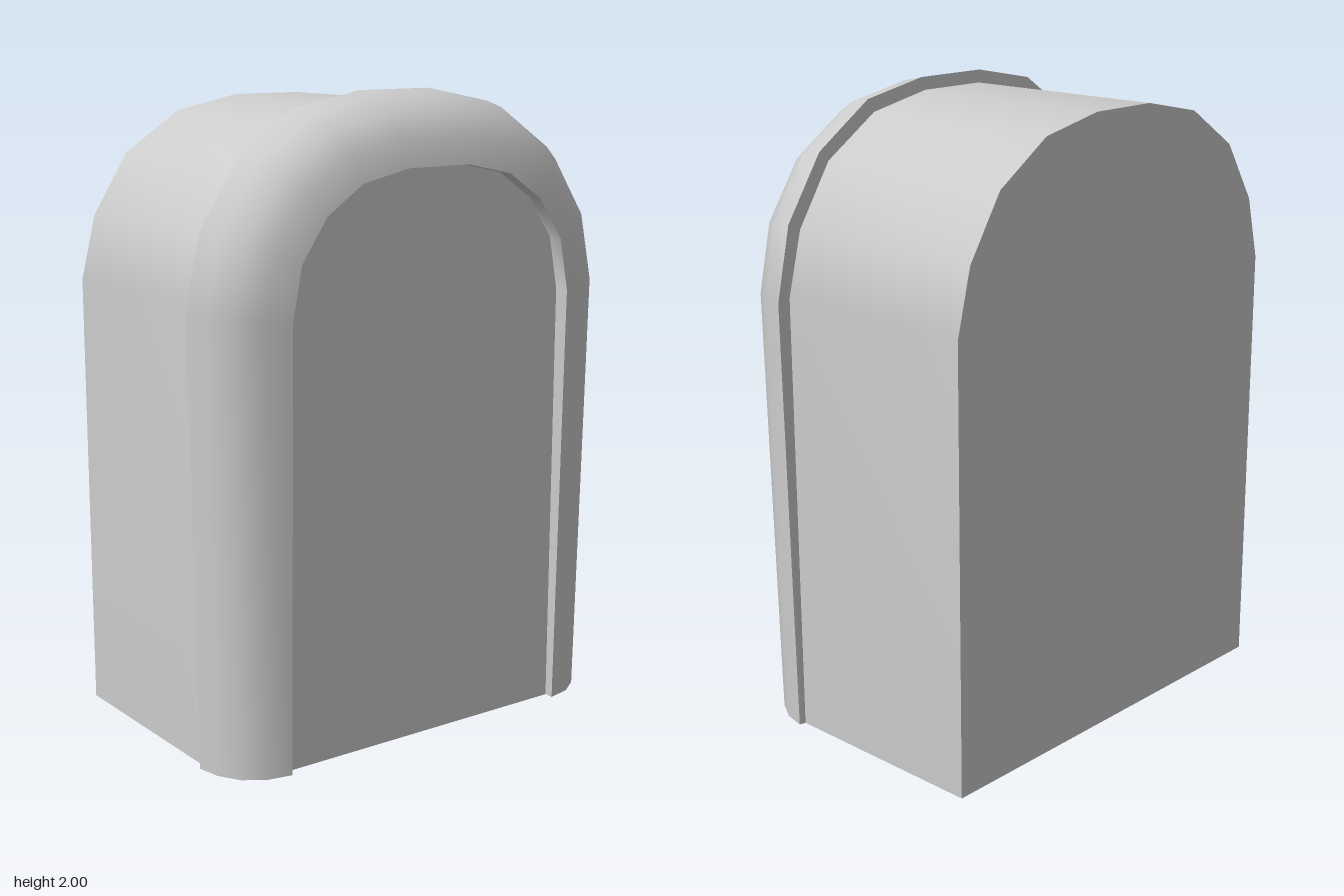
import * as THREE from 'three';

// Half outlines of the arch, from the foot up to the crown (x, y)
const BODY = [[0.7, 0], [0.7, 1.4], [0.65, 1.6], [0.53, 1.79], [0.34, 1.915], [0.12, 1.96]];
const RIM_OUTER = [[0.72, 0], [0.74, 1.39], [0.69, 1.62], [0.56, 1.82], [0.36, 1.955], [0.13, 2.0]];
const RIM_INNER = [[0.52, 0], [0.52, 1.37], [0.488, 1.535], [0.4, 1.665], [0.275, 1.75], [0.11, 1.785]];

const material = new THREE.MeshStandardMaterial({ color: 0xcccccc, side: THREE.DoubleSide });

// Mirror a half outline into a full arch, running from the +x foot to the -x foot
const arch = (half) => [...half, ...half.map(([x, y]) => [-x, y]).reverse()];

// Place an arch at depth z; the feet can sit at a slightly different depth
const ring = (half, z, footZ = z) =>
  arch(half).map(([x, y]) => new THREE.Vector3(x, y, y === 0 ? footZ : z));

const blend = (a, b, t) => a.map(([x, y], i) => [x + (b[i][0] - x) * t, y + (b[i][1] - y) * t]);

// Skin a series of rings with smooth normals
function loft(name, rings) {
  const n = rings[0].length;
  const index = [];
  for (let r = 0; r < rings.length - 1; r++) {
    for (let i = 0; i < n - 1; i++) {
      const a = r * n + i, b = a + 1, c = a + n, d = c + 1;
      index.push(a, b, d, a, d, c);
    }
  }
  const geometry = new THREE.BufferGeometry().setFromPoints(rings.flat());
  geometry.setIndex(index);
  geometry.computeVertexNormals();
  const mesh = new THREE.Mesh(geometry, material);
  mesh.name = name;
  return mesh;
}

// Flat arched panel facing +z
function panel(name, half, z) {
  const shape = new THREE.Shape(arch(half).map(([x, y]) => new THREE.Vector2(x, y)));
  const mesh = new THREE.Mesh(new THREE.ShapeGeometry(shape), material);
  mesh.name = name;
  mesh.position.z = z;
  return mesh;
}

export function createModel() {
  const group = new THREE.Group();
  group.name = 'archedHousing';

  // Hollow body, open underneath
  group.add(loft('bodyShell', [ring(BODY, -0.46), ring(BODY, 0.235)]));
  const back = panel('backPanel', BODY, -0.46);
  back.rotation.y = Math.PI;
  group.add(back);

  // Narrow step from the body out to the rim
  group.add(loft('rimLip', [ring(BODY, 0.235), ring(RIM_OUTER, 0.24)]));

  // Rounded rim: [blend from outer to inner outline, depth, depth at the feet]
  const profile = [[0, 0.24, 0.24], [0.08, 0.32, 0.313], [0.28, 0.395, 0.38], [0.61, 0.442, 0.424], [1, 0.46, 0.44]];
  group.add(loft('frontRim', profile.map(([t, z, foot]) => ring(blend(RIM_OUTER, RIM_INNER, t), z, foot))));

  // Shallow recess with the front panel
  group.add(loft('recessWall', [ring(RIM_INNER, 0.46, 0.44), ring(RIM_INNER, 0.41)]));
  group.add(panel('frontPanel', RIM_INNER, 0.41));

  return group;
}
